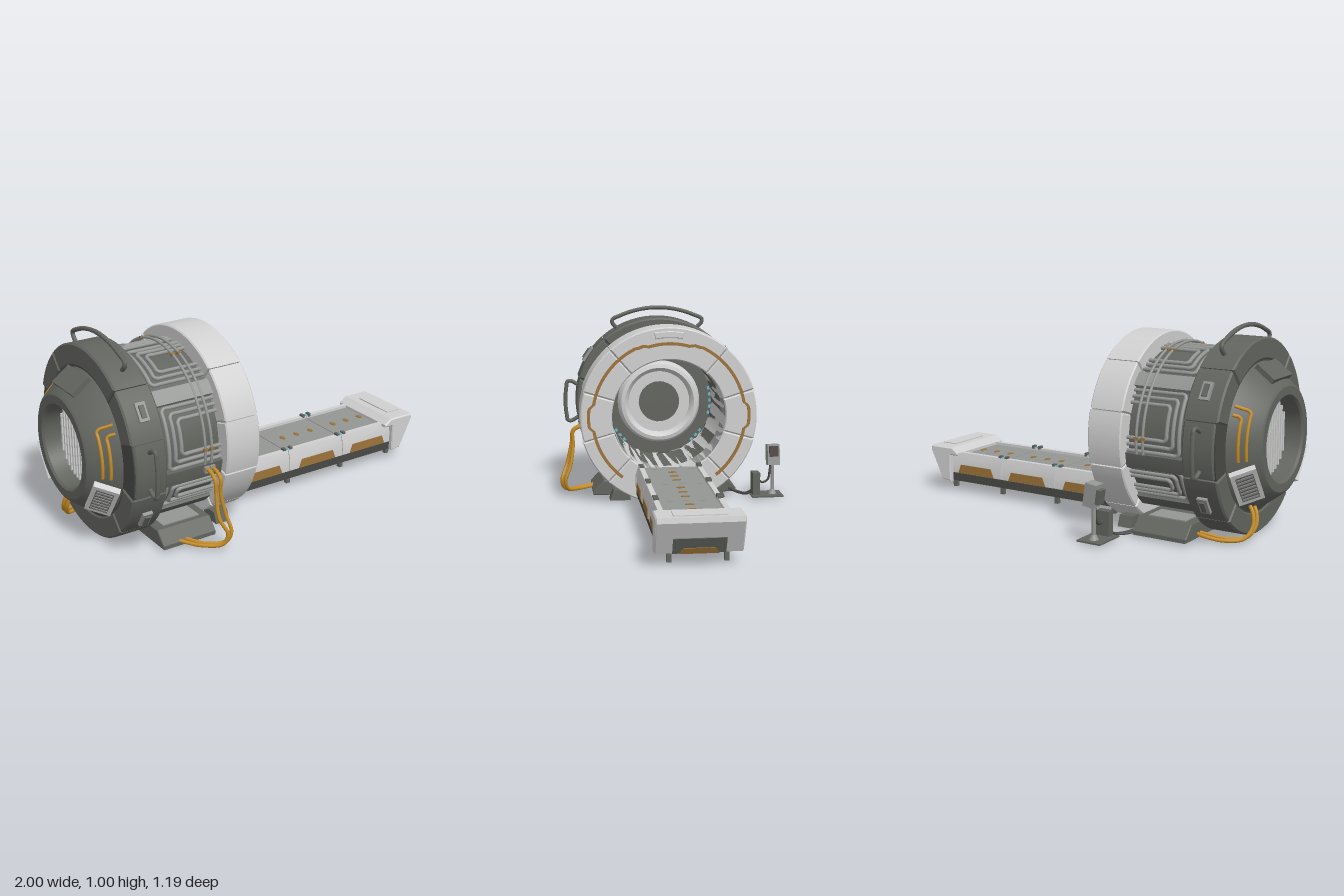
import * as THREE from 'three';
import { toCreasedNormals } from 'three/addons/utils/BufferGeometryUtils.js';

const CY = 0.475, CZ = 0.025, RAD = Math.PI / 180;
const V = (p) => new THREE.Vector3(...p);
const colour = (name, hex) => {
  const m = new THREE.MeshStandardMaterial({ color: hex });
  m.name = name;
  return m;
};

export function createModel() {
  const light = colour('light grey', 0xd0d0d0), mid = colour('mid grey', 0x949694);
  const dark = colour('dark grey', 0x62645f), deep = colour('charcoal', 0x484945);
  const amber = colour('amber cable', 0xc48c25), ochre = colour('ochre trim', 0x9c733a);
  const cyan = colour('cyan light', 0x68bfca), screenMat = colour('screen', 0x4a3f3c);

  const model = new THREE.Group();
  model.name = 'scanner';
  const gantry = new THREE.Group();
  gantry.name = 'gantry';
  gantry.position.set(0, CY, CZ);
  model.add(gantry);
  const bed = new THREE.Group();
  bed.name = 'bed';
  bed.position.z = CZ;
  model.add(bed);

  const add = (parent, name, geo, mat, pos = [0, 0, 0]) => {
    const m = new THREE.Mesh(geo, mat);
    m.name = name;
    m.position.set(...pos);
    parent.add(m);
    return m;
  };
  const box = (parent, name, mat, size, pos) => add(parent, name, new THREE.BoxGeometry(...size), mat, pos);
  // turned part about the x axis; points are [radius, x]
  const turned = (name, pts, mat) => add(gantry, name, toCreasedNormals(
    new THREE.LatheGeometry(pts.map((p) => new THREE.Vector2(...p)), 72).rotateZ(-Math.PI / 2), 0.5), mat);
  const extrude = (shape, depth, bevel = 0) => toCreasedNormals(new THREE.ExtrudeGeometry(shape, {
    depth: depth - 2 * bevel, bevelEnabled: bevel > 0, bevelSize: bevel, bevelThickness: bevel,
    bevelOffset: -bevel, bevelSegments: 1, curveSegments: 20 }).translate(0, 0, bevel - depth / 2), 0.5);
  const poly = (pts) => new THREE.Shape(pts.map((p) => new THREE.Vector2(...p)));
  // outline in (-z, y) given thickness from x0 to x1
  const alongX = (shape, x0, x1, bevel) =>
    extrude(shape, x1 - x0, bevel).rotateY(Math.PI / 2).translate((x0 + x1) / 2, 0, 0);
  // block of a ring; angles count from -z over the top
  const sector = (name, mat, x0, x1, r0, r1, a0, a1, bevel = 0) => {
    const s = new THREE.Shape();
    s.absarc(0, 0, r1, a0 * RAD, a1 * RAD, false);
    s.absarc(0, 0, r0, a1 * RAD, a0 * RAD, true);
    return add(gantry, name, alongX(s, x0, x1, bevel), mat);
  };
  const onRing = (x, r, a) => [x, r * Math.sin(a * RAD), -r * Math.cos(a * RAD)];
  const tube = (parent, name, pts, r, mat, seg = 40) => add(parent, name,
    new THREE.TubeGeometry(new THREE.CatmullRomCurve3(pts.map(V), false, 'centripetal'), seg, r, 8), mat);
  // pipe routed over a round surface through [x, angle] corners, with rounded bends
  const routed = (name, corners, radiusAt, r, mat) => {
    const pts = [];
    const q = corners.map(([x, a]) => new THREE.Vector2(x, a * RAD * 0.4));
    for (let i = 0; i + 1 < q.length; i++) {
      const len = q[i].distanceTo(q[i + 1]), c = Math.min(0.012 / len, 0.4);
      const n = Math.max(1, Math.ceil(len / 0.035));
      const t0 = i ? c : 0, t1 = i + 2 < q.length ? 1 - c : 1;
      for (let k = 0; k <= n; k++) {
        const p = q[i].clone().lerp(q[i + 1], t0 + (t1 - t0) * k / n);
        pts.push(onRing(p.x, radiusAt(p.x), p.y / 0.4 / RAD));
      }
    }
    return tube(gantry, name, pts, r, mat, pts.length * 3);
  };
  // pivot whose local +y points outward from the gantry axis at an angle
  const spoke = (name, a) => {
    const g = new THREE.Group();
    g.name = name;
    g.rotation.x = (a - 90) * RAD;
    gantry.add(g);
    return g;
  };

  // Bore, inner wall and domed lens
  turned('boreLiner', [[0.3, -0.205], [0.3, -0.72]], light);
  turned('boreEndWall', [[0.3, -0.72], [0.22, -0.72]], dark);
  turned('lensHousing', [[0.232, -0.72], [0.228, -0.69], [0.215, -0.67], [0.195, -0.665], [0.18, -0.68], [0.172, -0.7], [0.114, -0.7]], light);
  turned('lens', [[0.115, -0.7], [0, -0.7]], dark);
  for (const [from, to] of [[52, 128], [-16, 16], [164, 196], [-52, -32], [212, 232]])
    for (let a = from; a < to - 2; a += 7) sector('boreLight', cyan, -0.72, -0.715, 0.284, 0.297, a, a + 3.5);

  // Ring cores and segmented shells
  const core = (name, x0, x1, r, mat) => turned(name, [[0.3, x0], [r, x0], [r, x1], [0.3, x1], [0.3, x0]], mat);
  core('frontRingCore', -0.374, -0.212, 0.46, mid);
  core('rearRingCore', -0.868, -0.706, 0.457, deep);
  core('middleDrum', -0.71, -0.37, 0.388, dark);
  const cuts = [-47, -16, 17, 49, 131, 163, 196, 227, 313];
  for (let i = 0; i < 8; i++) {
    const a0 = cuts[i] + 0.25, a1 = cuts[i + 1] - 0.25, side = i === 1 || i === 5;
    sector('frontRingShell', light, -0.38, side ? -0.198 : -0.202, 0.3, side ? 0.466 : 0.47, a0, a1, 0.006);
    sector('rearRingShell', dark, side ? -0.862 : -0.875, -0.7, 0.365, side ? 0.464 : 0.47, a0, a1, 0.008);
  }
  sector('frontRingPad', light, -0.21, -0.196, 0.415, 0.45, 80, 100, 0.004);

  // Ochre outline on the front face, stepping out at sides and shoulders
  const lineRadius = (a) => {
    const off = Math.abs(a - 90);
    if (off < 16) return 0.385;
    if (off < 20) return 0.385 + (off - 16) * 0.003;
    if (off < 25) return 0.397;
    if (off > 80 && off < 100) return 0.402 + 0.021 * Math.min(1, (10 - Math.abs(off - 90)) / 3);
    return 0.402;
  };
  const outer = [], inner = [];
  for (let a = -52; a <= 232; a += 2) for (const [list, d] of [[outer, 0.008], [inner, -0.008]]) {
    const r = lineRadius(a) + d;
    list.push([r * Math.cos(a * RAD), r * Math.sin(a * RAD)]);
  }
  add(gantry, 'frontTrimLine', alongX(poly([...outer, ...inner.reverse()]), -0.2, -0.195), ochre);

  // Pipes and bridging plates around the drum
  for (const [a0, a1] of [[51, 86], [94, 129], [146, 187], [-7, 34], [199, 222], [-42, -19]])
    for (let i = 0; i < 3; i++) {
      const x = -0.655 + i * 0.033, s = i * (a1 - a0 > 30 ? 4.4 : 3.6);
      routed('drumPipe', [[-0.375, a0 + s], [x, a0 + s], [x, a1 - s], [-0.375, a1 - s]], () => 0.404, 0.0095, mid);
    }
  for (const x of [-0.44, -0.475]) {
    routed('hoopPipe', [[x, -8], [x, 188]], () => 0.423, 0.007, mid);
    for (const a of [2, 70, 110, 178]) box(spoke('hoopClip', a), 'clip', ochre, [0.02, 0.012, 0.014], [x, 0.424, 0]);
  }
  for (const a of [41, 139, -13, 193, -48, 228])
    sector('bridgePlate', a === 41 || a === 139 ? mid : dark, -0.7, -0.375, 0.38, 0.426, a - 5, a + 5, 0.005);

  // Handles and latches on the rear ring
  for (const [mid0, half] of [[90, 30], [0, 13], [180, 13]]) {
    const pts = [onRing(-0.787, 0.46, mid0 - half + 1.5), onRing(-0.787, 0.505, mid0 - half)];
    for (let k = -5; k <= 5; k++) pts.push(onRing(-0.787, 0.523, mid0 + k * (half - 1) / 5));
    pts.push(onRing(-0.787, 0.505, mid0 + half), onRing(-0.787, 0.46, mid0 + half - 1.5));
    tube(gantry, 'handle', pts, 0.011, dark, 60);
  }
  for (const a of [34, 146, -33, 213]) {
    const g = spoke('latch', a);
    box(g, 'latchBase', mid, [0.05, 0.02, 0.09], [-0.787, 0.474, 0]);
    box(g, 'latchTongue', dark, [0.025, 0.012, 0.06], [-0.787, 0.486, 0]);
  }

  // Rear cone with recessed grille
  turned('rearCone', [[0.19, -0.9], [0.2, -0.99], [0.21, -1], [0.25, -1], [0.264, -0.992], [0.36, -0.866], [0.372, -0.866]], dark);
  turned('grilleBack', [[0, -0.9], [0.192, -0.9]], mid);
  for (let i = -6; i <= 6; i++) {
    const z = i * 0.027;
    box(gantry, 'grilleSlat', light, [0.02, 2 * Math.sqrt(0.188 ** 2 - z * z), 0.012], [-0.908, 0, z]);
  }
  const coneR = (x) => 0.36 + (x + 0.866) * 0.762 + 0.006;
  for (const m of [1, -1]) {
    const at = (a) => 90 + m * a;
    routed('rearConduit', [[-0.88, at(57)], [-0.945, at(57)], [-0.945, at(100)]], coneR, 0.008, amber);
    routed('rearConduit', [[-0.88, at(64)], [-0.915, at(64)], [-0.915, at(100)]], coneR, 0.008, amber);
    // vented panels low on the cone
    const vent = new THREE.Group();
    vent.name = 'ventPanel';
    vent.position.set(-0.929, 0.312, 0);
    vent.rotation.z = 37.3 * RAD;
    spoke('ventMount', at(124)).add(vent);
    box(vent, 'ventFrame', light, [0.125, 0.03, 0.19], [0, 0.004, 0]);
    box(vent, 'ventRecess', dark, [0.085, 0.004, 0.15], [0, 0.02, 0]);
    for (let i = -3; i <= 3; i++) box(vent, 'ventSlat', mid, [0.08, 0.006, 0.01], [0, 0.022, i * 0.021]);
  }
  const topPanel = spoke('topPanel', 90);
  box(topPanel, 'conePlate', dark, [0.11, 0.025, 0.2], [-0.93, 0.316, 0]).rotation.z = 37.3 * RAD;

  // Floor supports on both sides
  for (const m of [1, -1]) {
    const foot = poly([[0.1, 0.015], [0.39, 0.015], [0.39, 0.035], [0.335, 0.095], [0.12, 0.095]].map(([u, v]) => [u * m, v]));
    add(model, 'floorSupport', alongX(foot, -0.69, -0.4, 0.004), dark, [0, 0, CZ]);
    box(model, 'supportPlate', mid, [0.2, 0.006, 0.12], [-0.545, 0.097, CZ + m * 0.25]);
    const toe = poly([[0.2, 0.015], [0.31, 0.015], [0.29, 0.07], [0.2, 0.07]].map(([u, v]) => [u * m, v]));
    add(model, 'ringToe', alongX(toe, -0.345, -0.27), dark, [0, 0, CZ]);
  }

  // Amber cables: drum side to support, and support to rear cone
  for (const [x, d] of [[-0.47, 0], [-0.44, 0.018]]) {
    tube(model, 'sideCable', [[x, 0.39, 0.41], [x, 0.39, 0.48], [x, 0.365, 0.52], [x, 0.29, 0.53 - d / 2], [x + d, 0.18, 0.555 - d],
      [x + 0.03, 0.1, 0.583 - d], [x + 0.01, 0.05, 0.57 - d], [x - 0.06, 0.032, 0.5], [-0.6 + d * 2, 0.035, 0.4]], 0.0095, amber, 70);
    box(model, 'cableSocket', mid, [0.026, 0.03, 0.05], [x, 0.39, 0.435]);
    tube(model, 'rearCable', [[-0.66, 0.04, -0.24 + d], [-0.72, 0.03, -0.25 + d * 2], [-0.82, 0.018, -0.23 + d * 2], [-0.9, 0.03, -0.19 + d * 2],
      [-0.925, 0.08, -0.15 + d * 2], [-0.915, 0.14, -0.13 + d * 2], [-0.89, 0.18, -0.12 + d * 2]], 0.0095, amber, 60);
  }

  // Bed: slab, cushions, side rails, windows, clips and legs
  box(bed, 'bedSlab', deep, [1.09, 0.05, 0.35], [0.345, 0.088, 0]);
  box(bed, 'bedBase', dark, [1.09, 0.09, 0.29], [0.345, 0.15, 0]);
  const joints = [-0.2, -0.155, 0.19, 0.535, 0.86];
  const rail = [[0.18, 0.108], [0.18, 0.165], [0.165, 0.22], [0.14, 0.22], [0.14, 0.108]];
  for (let i = 0; i < 4; i++) {
    const x0 = joints[i] + 0.002, x1 = joints[i + 1] - 0.002, c = (x0 + x1) / 2;
    box(bed, 'cushion', mid, [x1 - x0, 0.012, 0.284], [c, 0.2, 0]);
    for (const m of [1, -1]) {
      add(bed, 'sideRail', alongX(poly(rail.map(([u, v]) => [u * m, v])), x0, x1), light);
      if (i) add(bed, 'sideWindow', extrude(poly([[-0.118, 0.11], [0.118, 0.11], [0.1, 0.156], [-0.1, 0.156]]), 0.006), ochre, [c + 0.005, 0, m * 0.181]);
    }
    if (i) for (const k of [-1, 0, 1]) {
      const dot = new THREE.CylinderGeometry(0.012, 0.012, 0.004, 16).scale(1, 1, 1.8);
      add(bed, 'cushionMark', dot, ochre, [c + k * 0.09, 0.207, 0]);
    }
  }
  for (const x of joints.slice(1, 4)) for (const m of [1, -1]) {
    for (const s of [-1, 1]) box(bed, 'railClip', dark, [0.016, 0.018, 0.025], [x + s * 0.02, 0.222, m * 0.152]);
    box(bed, 'railLight', cyan, [0.022, 0.006, 0.016], [x, 0.221, m * 0.152]);
  }
  for (const x of [-0.14, 0.21, 0.56, 0.88]) for (const m of [1, -1])
    box(bed, 'bedLeg', dark, [0.022, 0.05, 0.022], [x, 0.043, m * 0.13]);

  // Bed end block with its sloped underside
  add(bed, 'bedEnd', extrude(poly([[0.81, 0.205], [0.81, 0.22], [0.85, 0.247], [0.99, 0.247], [0.995, 0.222], [0.92, 0.068], [0.862, 0.06], [0.862, 0.205]]), 0.4, 0.006), light);
  box(bed, 'bedEndPad', light, [0.08, 0.008, 0.24], [0.93, 0.248, 0]);
  const slope = new THREE.Group();
  slope.name = 'bedEndFace';
  slope.position.set(0.92, 0.068, 0);
  slope.rotation.z = -26 * RAD;
  bed.add(slope);
  box(slope, 'endRecess', dark, [0.006, 0.085, 0.24], [0.001, 0.043, 0]);
  add(slope, 'endWindow', alongX(poly([[-0.09, 0], [0.09, 0], [0.07, 0.032], [-0.07, 0.032]]), 0, 0.007), ochre);

  // Control stand with screen, cable box and cables
  const stand = new THREE.Group();
  stand.name = 'controlStand';
  model.add(stand);
  box(stand, 'standPlate', dark, [0.13, 0.008, 0.17], [-0.305, 0.018, -0.515]);
  add(stand, 'standFoot', new THREE.CylinderGeometry(0.012, 0.024, 0.025, 16), mid, [-0.305, 0.033, -0.55]);
  add(stand, 'standPost', new THREE.CylinderGeometry(0.01, 0.01, 0.16, 16), mid, [-0.305, 0.11, -0.55]);
  const head = new THREE.Group();
  head.name = 'screenHead';
  head.position.set(-0.3, 0.238, -0.55);
  head.rotation.z = 0.15;
  stand.add(head);
  box(head, 'screenCase', mid, [0.06, 0.112, 0.066], [0, 0, 0]);
  box(head, 'screenFace', screenMat, [0.004, 0.058, 0.05], [0.031, 0.018, 0]);
  box(head, 'screenBack', dark, [0.03, 0.07, 0.05], [-0.035, 0, 0]);
  box(stand, 'cableBox', dark, [0.07, 0.125, 0.04], [-0.305, 0.08, -0.457]);
  tube(stand, 'screenCable', [[-0.305, 0.1, -0.47], [-0.305, 0.085, -0.495], [-0.305, 0.1, -0.525], [-0.305, 0.15, -0.535], [-0.305, 0.2, -0.54]], 0.006, deep);
  for (const d of [0, 0.02])
    tube(stand, 'floorCable', [[-0.3 - d, 0.04, -0.44], [-0.32 - d, 0.02, -0.41], [-0.37 - d, 0.022, -0.36], [-0.42, 0.045, -0.31 + d]], 0.006, deep);

  return model;
}
